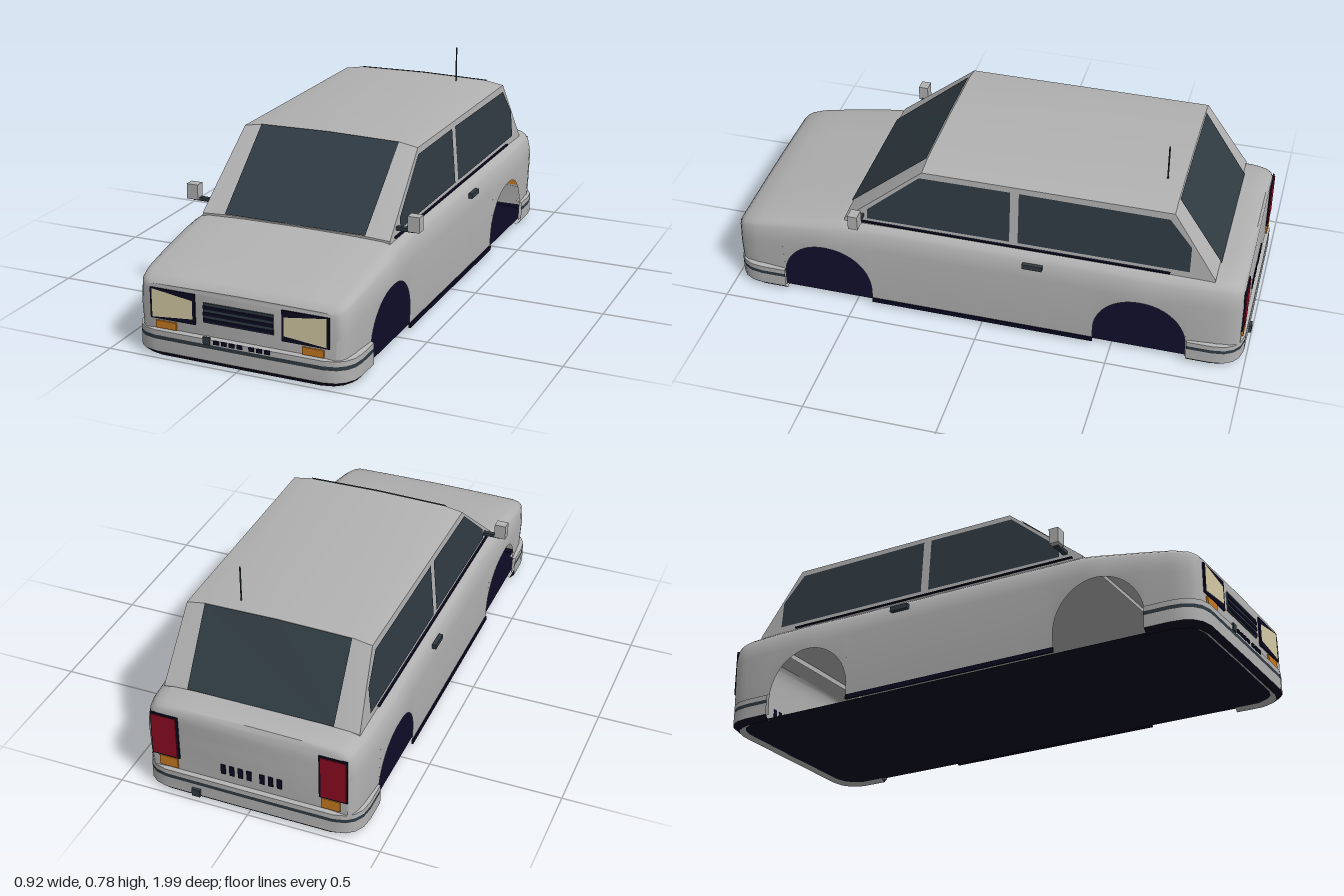
import * as THREE from 'three';
import { toCreasedNormals } from 'three/addons/utils/BufferGeometryUtils.js';

const paint = (name, color) => new THREE.MeshStandardMaterial({ name, color, side: THREE.DoubleSide });

// Linear lookup in [z, value] pairs sorted by falling z
function lookup(table, z) {
  for (let i = 1; i < table.length; i++) {
    const [z0, a] = table[i - 1], [z1, b] = table[i];
    if (z >= z1) return a + (b - a) * Math.min(1, Math.max(0, (z0 - z) / (z0 - z1)));
  }
  return table[table.length - 1][1];
}

// Skin between successive cross-sections, optionally closing both ends
function loft(rings, caps, crease) {
  const pos = [];
  const quad = (a, b, c, d) => pos.push(...a, ...b, ...c, ...a, ...c, ...d);
  for (let i = 0; i + 1 < rings.length; i++)
    for (let j = 0; j + 1 < rings[i].length; j++)
      quad(rings[i][j], rings[i + 1][j], rings[i + 1][j + 1], rings[i][j + 1]);
  if (caps) [rings[0], rings[rings.length - 1]].forEach((r, end) => {
    const n = r.length - 1;
    for (let j = 0; j < n / 2; j++) {
      const k = [r[j], r[j + 1], r[n - j - 1], r[n - j]];
      quad(...(end ? k.reverse() : k));
    }
  });
  const g = new THREE.BufferGeometry();
  g.setAttribute('position', new THREE.Float32BufferAttribute(pos, 3));
  g.computeVertexNormals();
  return toCreasedNormals(g, crease);
}

// Mirrors a half section (ending on the centre line) into a full one
const mirrored = half => [...half, ...half.slice(0, -1).reverse().map(([x, y, z]) => [-x, y, z])];

const WIDTH = [[0.975, 0.365], [0.965, 0.38], [0.945, 0.393], [0.9, 0.403], [0.79, 0.412], [0.6, 0.42], [0.42, 0.413],
  [-0.42, 0.413], [-0.6, 0.42], [-0.79, 0.415], [-0.9, 0.408], [-0.945, 0.398], [-0.965, 0.388], [-0.975, 0.375]];
const TOP = [[0.975, 0.268], [0.965, 0.281], [0.945, 0.293], [0.88, 0.312], [0.7, 0.345], [0.54, 0.375], [0.3, 0.38],
  [-0.92, 0.38], [-0.95, 0.376], [-0.965, 0.37], [-0.975, 0.355]];
const ARCHES = [0.61, -0.605], ARCH_R = 0.175, ARCH_Y = 0.075, SILL = 0.02;

function bodyGeometry() {
  const cols = [];
  for (const z of [...WIDTH, ...TOP].map(p => p[0]))
    if (ARCHES.every(c => Math.abs(z - c) > ARCH_R)) cols.push([z, SILL]);
  for (const c of ARCHES) {
    cols.push([c + ARCH_R + 1e-5, SILL], [c - ARCH_R - 1e-5, SILL]);
    for (let i = 0; i <= 24; i++) {
      const a = Math.PI * i / 24;
      cols.push([c + ARCH_R * Math.cos(a), ARCH_Y + ARCH_R * Math.sin(a)]);
    }
  }
  cols.sort((a, b) => b[0] - a[0]);
  return loft(cols.map(([z, bottom]) => {
    const W = lookup(WIDTH, z), T = lookup(TOP, z), s = Math.min(T - 0.1, 0.27);
    const f = 0.4 + 0.6 * Math.min(1, (T - 0.26) / 0.12);
    return mirrored([
      [W - 0.01 * (1 - bottom / 0.25), bottom, z], [W, s, z], [W - 0.004 * f, s + 0.03, z],
      [W - 0.012 * f, T - 0.042 * f, z], [W - 0.022 * f, T - 0.026 * f, z], [W - 0.04 * f, T - 0.013 * f, z],
      [W - 0.075 * f, T - 0.005 * f, z], [0.2, T, z], [0, T + 0.002, z]]);
  }), true, 0.6);
}

// Bumper outline in plan, from one wheel arch round to the other
function bumperPath(end, y, inset) {
  const half = [[0.417, 0.785], [0.417, 0.88], [0.41, 0.925], [0.392, 0.957], [0.365, 0.978], [0.32, 0.989], [0, 0.99]];
  return mirrored(half.map(([x, z]) => [x * (1 - inset / 0.4), y, end * (z > 0.9 ? z - inset : z)]));
}

export function createModel() {
  const car = new THREE.Group();
  car.name = 'carBody';
  const M = {
    body: paint('bodyPaint', 0xb2b2b2), glass: paint('slateGlass', 0x303b43), dark: paint('darkNavy', 0x0b0922),
    lamp: paint('creamLamp', 0xd6cca6), amber: paint('amber', 0xc87a20), red: paint('tailRed', 0x8c0c22),
  };
  const add = (name, geo, mat, parent = car) => {
    const m = new THREE.Mesh(geo, mat);
    m.name = name;
    parent.add(m);
    return m;
  };
  const box = (name, mat, x0, x1, y0, y1, z0, z1) =>
    add(name, new THREE.BoxGeometry(Math.abs(x1 - x0), y1 - y0, Math.abs(z1 - z0)), mat)
      .position.set((x0 + x1) / 2, (y0 + y1) / 2, (z0 + z1) / 2);
  // Flat polygon through 3D corners
  const plate = (name, mat, pts) => {
    const pos = [];
    for (let i = 1; i + 1 < pts.length; i++) pos.push(...pts[0], ...pts[i], ...pts[i + 1]);
    const g = new THREE.BufferGeometry();
    g.setAttribute('position', new THREE.Float32BufferAttribute(pos, 3));
    g.computeVertexNormals();
    add(name, g, mat);
  };

  // Lower shell with open wheel arches
  add('lowerBody', bodyGeometry(), M.body);

  // Cabin
  const section = (z, base, y, drop, wTop, crown) => mirrored(
    [[0.372, base, z], [wTop, y - drop, z], [0.28, y, z], [0, y + crown, z]]);
  add('cabin', loft([
    section(0.54, 0.36, 0.38, 0.005, 0.371, 0.001), section(0.235, 0.36, 0.64, 0.012, 0.35, 0.005),
    section(-0.70, 0.36, 0.64, 0.012, 0.35, 0.005), section(-0.865, 0.36, 0.38, 0.005, 0.371, 0.001)], true, 0.3), M.body);

  // Windscreen and rear window
  for (const [name, zb, zt, o] of [['windscreen', 0.54, 0.235, 0.004], ['rearWindow', -0.867, -0.70, -0.004]])
    plate(name, M.glass, [[-0.278, 0.384, zb + o], [0.278, 0.384, zb + o], [0.278, 0.642, zt + o],
      [0, 0.647, zt + o], [-0.278, 0.642, zt + o]]);

  // Side windows, seams, handles, sills and mirrors
  const sideX = y => 0.3755 - 0.022 * (y - 0.36) / 0.268;
  const panes = {
    frontSideWindow: [[0.448, 0.392], [0.448, 0.432], [0.245, 0.606], [-0.10, 0.608], [-0.10, 0.395]],
    rearSideWindow: [[-0.132, 0.395], [-0.132, 0.608], [-0.685, 0.604], [-0.77, 0.5], [-0.77, 0.395]],
  };
  for (const s of [1, -1]) {
    for (const [name, pts] of Object.entries(panes))
      plate(name, M.glass, pts.map(([z, y]) => [s * sideX(y), y, z]));
    box('beltSeam', M.dark, s * 0.37, s * 0.379, 0.374, 0.379, 0.5, -0.7);
    box('doorHandle', M.glass, s * 0.405, s * 0.421, 0.317, 0.336, -0.16, -0.235);
    box('sillStrip', M.dark, s * 0.402, s * 0.409, 0.012, 0.03, 0.435, -0.43);
    box('mirrorArm', M.glass, s * 0.355, s * 0.44, 0.396, 0.409, 0.462, 0.48);
    box('mirrorHead', M.body, s * 0.417, s * 0.462, 0.402, 0.46, 0.455, 0.492);
  }

  // Bumpers with dark lower lip and rub strip
  const bands = [['bumperLip', M.dark, 0, 0.02, 0.018, 0], ['bumperLower', M.body, 0.02, 0.066, 0, 0],
    ['bumperStrip', M.glass, 0.066, 0.08, 0, 0], ['bumperUpper', M.body, 0.08, 0.099, 0, 0],
    ['bumperTop', M.body, 0.099, 0.108, 0, 0.022], ['bumperUnderside', M.body, 0, 0.012, 0.018, 0.035]];
  for (const end of [1, -1])
    for (const [name, mat, y0, y1, i0, i1] of bands)
      add(name, loft([bumperPath(end, y0, i0), bumperPath(end, y1, i1)], false, 0.6), mat);

  // Floor pan
  plate('floor', M.dark, [...bumperPath(1, 0.013, 0.025), ...bumperPath(-1, 0.013, 0.025).reverse()]);

  // Front lamps
  for (const s of [1, -1]) {
    box('headlampFrame', M.dark, s * 0.165, s * 0.34, 0.14, 0.252, 0.973, 0.981);
    plate('headlampLens', M.lamp, [[s * 0.174, 0.16, 0.983], [s * 0.332, 0.145, 0.983],
      [s * 0.332, 0.25, 0.983], [s * 0.174, 0.228, 0.983]]);
    box('frontIndicator', M.amber, s * 0.24, s * 0.32, 0.106, 0.133, 0.973, 0.982);
    // Tail lamps
    box('tailLampFrame', M.dark, s * 0.266, s * 0.372, 0.155, 0.336, -0.973, -0.98);
    box('tailLampLens', M.red, s * 0.274, s * 0.368, 0.162, 0.33, -0.976, -0.983);
    box('rearIndicator', M.amber, s * 0.275, s * 0.345, 0.112, 0.154, -0.973, -0.982);
  }

  // Grille
  box('grille', M.glass, -0.133, 0.133, 0.155, 0.228, 0.973, 0.98);
  for (const y of [0.166, 0.189, 0.212]) box('grilleSlat', M.dark, -0.133, 0.133, y - 0.006, y + 0.006, 0.977, 0.983);

  // Vent slots front and rear
  box('frontBadgePlate', M.glass, -0.13, -0.104, 0.08, 0.108, 0.987, 0.994);
  for (const x of [-0.08, -0.05, -0.02, 0.01, 0.055, 0.085, 0.115]) {
    box('frontSlot', M.dark, x - 0.01, x + 0.01, 0.086, 0.1, 0.987, 0.994);
    box('rearSlot', M.dark, 0.01 - x * 1.1 - 0.009, 0.01 - x * 1.1 + 0.009, 0.14, 0.18, -0.973, -0.979);
  }

  // Exhaust and aerial
  box('exhaust', M.glass, 0.185, 0.217, 0.02, 0.05, -0.96, -1.0);
  add('aerial', new THREE.CylinderGeometry(0.003, 0.003, 0.14, 8), M.glass).position.set(0.168, 0.711, -0.638);
  return car;
}
